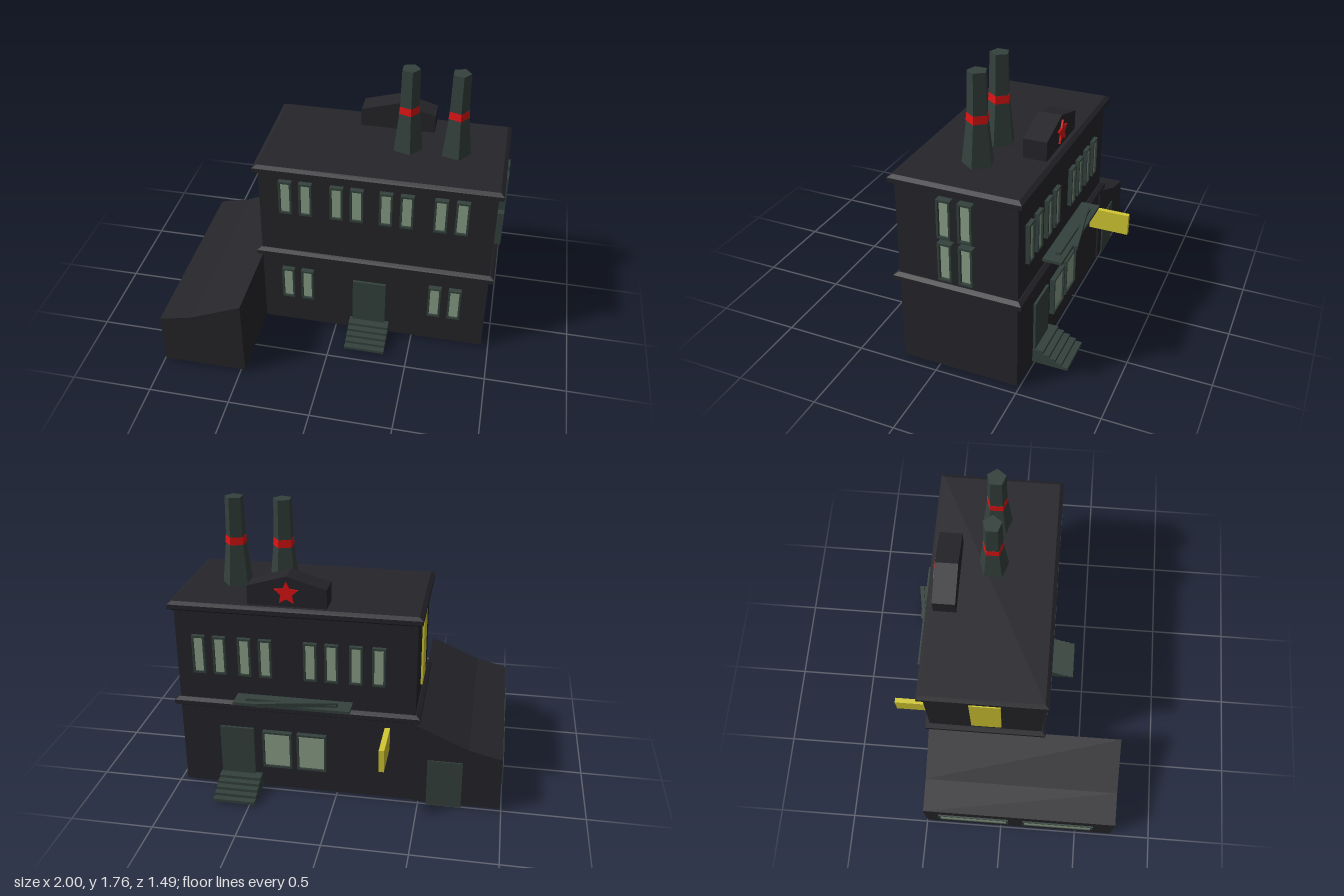
import * as THREE from 'three';

const mat = (color) => new THREE.MeshStandardMaterial({ color, flatShading: true });

export function createModel() {
  const model = new THREE.Group();
  const wall = mat(0x25252a), trim = mat(0x34413c), glass = mat(0x8aa088);
  const red = mat(0xdc1414), yellow = mat(0xd2c832);

  const add = (name, geometry, material, parent = model) => {
    const mesh = new THREE.Mesh(geometry, material);
    mesh.name = name;
    parent.add(mesh);
    return mesh;
  };
  // Box given by its lower and upper limits on each axis
  const box = (name, material, x0, x1, y0, y1, z0, z1) => {
    const mesh = add(name, new THREE.BoxGeometry(x1 - x0, y1 - y0, z1 - z0), material);
    mesh.position.set((x0 + x1) / 2, (y0 + y1) / 2, (z0 + z1) / 2);
    return mesh;
  };
  const polygon = (points) => new THREE.Shape(points.map(([x, y]) => new THREE.Vector2(x, y)));
  const rect = (w, h) => polygon([[-w / 2, -h / 2], [w / 2, -h / 2], [w / 2, h / 2], [-w / 2, h / 2]]);
  const extrude = (shape, depth) => new THREE.ExtrudeGeometry(shape, { depth, bevelEnabled: false });

  // Framed pane set on a wall; turn is the rotation about y
  const addWindow = (name, x, y, z, w, h, depth, turn) => {
    const group = new THREE.Group();
    group.name = name;
    const border = 0.012;
    const shape = rect(w, h);
    shape.holes.push(rect(w - 2 * border, h - 2 * border));
    add('windowFrame', extrude(shape, depth), trim, group);
    const pane = add('windowPane', new THREE.BoxGeometry(w - 2 * border, h - 2 * border, depth * 0.6), glass, group);
    pane.position.z = depth * 0.3;
    group.position.set(x, y, z);
    group.rotation.y = turn;
    model.add(group);
  };

  // Main block and its two chamfered cornices
  box('mainBuilding', wall, -0.47, 0.955, 0.015, 1.2, -0.49, 0.225);
  for (const [name, y] of [['lowerCornice', 0.545], ['roofCornice', 1.167]]) {
    const geometry = new THREE.ExtrudeGeometry(rect(1.435, 0.725), {
      depth: 0.026, bevelThickness: 0.016, bevelSize: 0.024, bevelSegments: 1,
    });
    geometry.rotateX(-Math.PI / 2);
    add(name, geometry, wall).position.set(0.243, y + 0.016, -0.133);
  }

  // Side annex with a two-pitch lean-to roof
  const annex = polygon([[-0.99, 0.015], [-0.47, 0.015], [-0.47, 0.54], [-0.79, 0.4], [-0.99, 0.352]]);
  add('annex', extrude(annex, 1.24), wall).position.z = -0.5;
  box('annexDoor', trim, -0.76, -0.55, 0, 0.31, -0.508, -0.49);
  for (const z of [-0.18, 0.375]) {
    addWindow('annexWindow', -0.988, 0.193, z, 0.46, 0.125, 0.012, -Math.PI / 2);
  }

  // Front windows
  for (const x of [-0.302, -0.178, 0.012, 0.135, 0.31, 0.435, 0.635, 0.76]) {
    addWindow('frontUpperWindow', x, 1.02, 0.225, 0.08, 0.23, 0.032, 0);
  }
  for (const x of [-0.302, -0.178, 0.635, 0.76]) {
    addWindow('frontLowerWindow', x, 0.347, 0.225, 0.08, 0.23, 0.032, 0);
  }

  // Windows on the model's left wall
  for (const z of [-0.079, -0.203]) {
    for (const y of [0.763, 1.03]) {
      addWindow('sideWindow', 0.955, y, z, 0.082, 0.237, 0.043, Math.PI / 2);
    }
  }

  // Rear windows
  for (const x of [0.815, 0.69, 0.54, 0.415, 0.148, 0.023, -0.12, -0.253]) {
    addWindow('rearUpperWindow', x, 0.9, -0.49, 0.078, 0.24, 0.025, Math.PI);
  }
  for (const x of [0.361, 0.149]) {
    addWindow('rearLowerWindow', x, 0.292, -0.49, 0.18, 0.245, 0.03, Math.PI);
  }

  // Doors and steps
  box('frontDoor', trim, 0.115, 0.325, 0.1, 0.42, 0.2, 0.242);
  box('rearDoor', trim, 0.507, 0.717, 0.1, 0.42, -0.505, -0.47);
  for (let i = 0; i < 5; i++) {
    const y0 = 0.013 + i * 0.018, y1 = y0 + 0.018;
    box('frontStep', trim, 0.097, 0.352, y0, y1, 0.2, 0.432 - i * 0.036);
    box('rearStep', trim, 0.465, 0.723, y0, y1, -0.708 + i * 0.038, -0.47);
  }

  // Rear canopy with loose planks
  box('canopy', trim, -0.1, 0.595, 0.635, 0.652, -0.606, -0.48);
  box('canopyPlank', trim, -0.015, 0.525, 0.652, 0.668, -0.575, -0.545);
  const plank = add('tiltedPlank', new THREE.BoxGeometry(0.47, 0.026, 0.025), trim);
  plank.position.set(0.21, 0.665, -0.592);
  plank.rotation.y = 0.18;

  // Yellow sign and side panel
  box('hangingSign', yellow, -0.322, -0.29, 0.36, 0.5, -0.747, -0.48);
  box('sidePanel', yellow, -0.482, -0.46, 0.665, 1.1, -0.22, -0.03);

  // Roof gable with a red star
  const gable = polygon([[0.052, 1.2], [0.515, 1.2], [0.515, 1.34], [0.284, 1.407], [0.052, 1.34]]);
  add('roofGable', extrude(gable, 0.138), wall).position.z = -0.473;
  const starPoints = [];
  for (let i = 0; i < 10; i++) {
    const r = i % 2 ? 0.034 : 0.073, a = Math.PI / 2 + i * Math.PI / 5;
    starPoints.push([r * Math.cos(a), r * Math.sin(a)]);
  }
  add('redStar', extrude(polygon(starPoints), 0.02), red).position.set(0.284, 1.308, -0.483);

  // Five-sided chimneys: flared base, red band, narrower stack
  for (const x of [0.372, 0.664]) {
    const chimney = new THREE.Group();
    chimney.name = 'chimney';
    for (const [name, top, bottom, y0, y1, material] of [
      ['chimneyBase', 0.065, 0.094, 1.22, 1.475, trim],
      ['chimneyBand', 0.063, 0.067, 1.475, 1.522, red],
      ['chimneyStack', 0.057, 0.062, 1.522, 1.76, trim],
    ]) {
      const geometry = new THREE.CylinderGeometry(top, bottom, y1 - y0, 5, 1, false, Math.PI / 2);
      add(name, geometry, material, chimney).position.y = (y0 + y1) / 2;
    }
    chimney.position.set(x, 0, -0.137);
    model.add(chimney);
  }

  return model;
}
